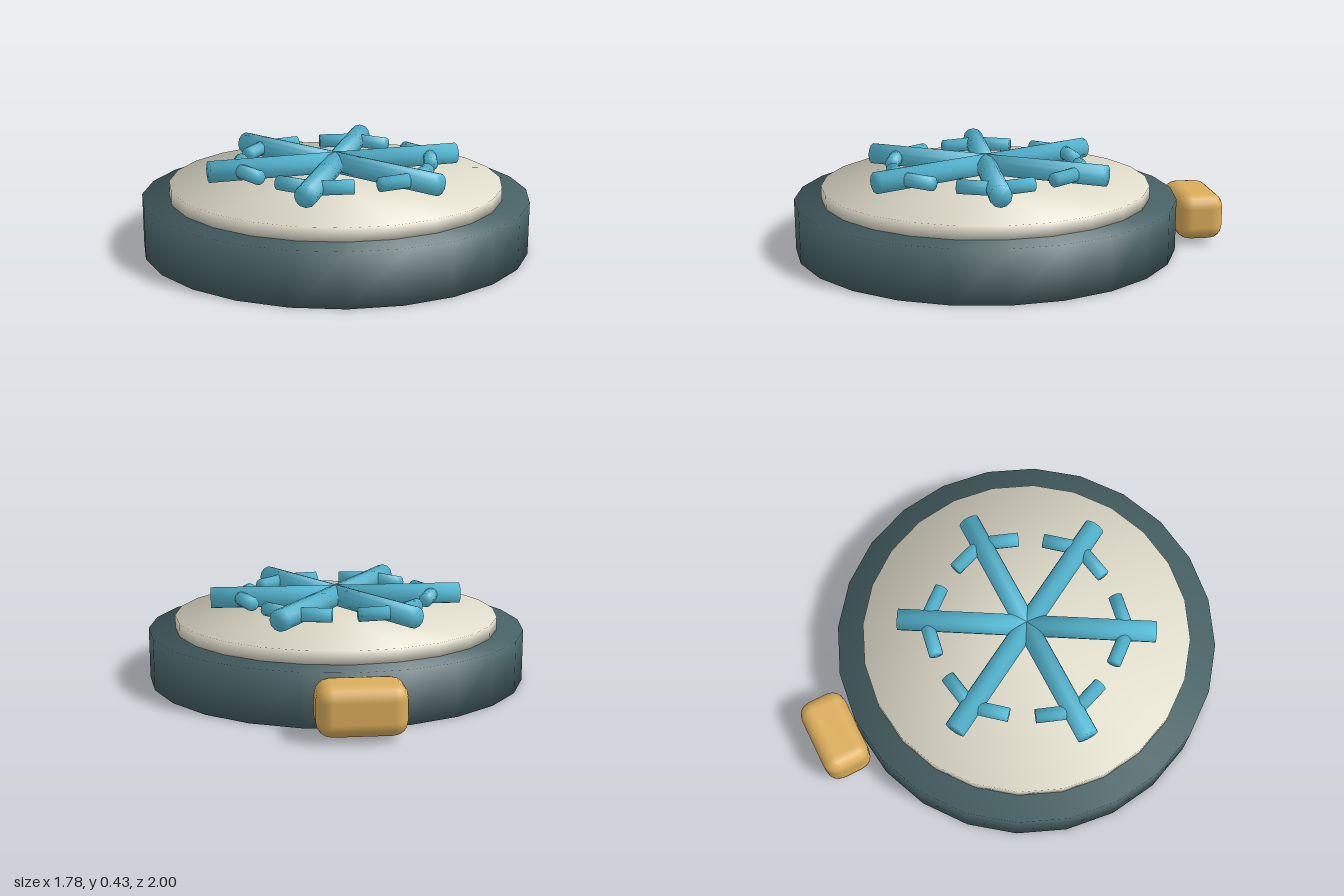
import * as THREE from 'three';
import { RoundedBoxGeometry } from 'three/addons/geometries/RoundedBoxGeometry.js';

const material = (name, color) => {
  const m = new THREE.MeshStandardMaterial({ color });
  m.name = name;
  return m;
};

// Cylinder whose shading flows over its rims, so the caps look softly domed
function softCylinder(radius, height, sides) {
  const geo = new THREE.CylinderGeometry(radius, radius, height, sides);
  const pos = geo.attributes.position;
  const n = new THREE.Vector3();
  for (let i = 0; i < pos.count; i++) {
    n.set(pos.getX(i) / radius, Math.sign(pos.getY(i)), pos.getZ(i) / radius).normalize();
    geo.attributes.normal.setXYZ(i, n.x, n.y, n.z);
  }
  return geo;
}

export function createModel() {
  const teal = material('dark teal', 0x466064);
  const cream = material('cream', 0xe0dccb);
  const blue = material('ice blue', 0x57bcd8);
  const gold = material('gold', 0xdcae5c);

  const model = new THREE.Group();
  model.name = 'snowflakePendant';
  const centreZ = 0.11;

  const add = (parent, name, geo, mat, x, y, z) => {
    const mesh = new THREE.Mesh(geo, mat);
    mesh.name = name;
    mesh.position.set(x, y, z);
    parent.add(mesh);
    return mesh;
  };

  // Round case and raised face
  add(model, 'case', softCylinder(0.89, 0.24, 24), teal, 0, 0.12, centreZ);
  add(model, 'face', softCylinder(0.765, 0.06, 24), cream, 0, 0.27, centreZ);

  // Knob at the back rim
  add(model, 'knob', new RoundedBoxGeometry(0.375, 0.22, 0.22, 2, 0.065), gold, 0, 0.13, -0.89);

  // Snowflake: six arms, each with two swept-back twigs
  const snowflake = new THREE.Group();
  snowflake.name = 'snowflake';
  snowflake.position.set(0, 0.38, centreZ);
  model.add(snowflake);

  // Rods lie along +x, starting at the origin
  const rod = (radius, length) =>
    softCylinder(radius, length, 12).rotateZ(-Math.PI / 2).translate(length / 2, 0, 0);
  const armGeo = rod(0.05, 0.595);
  const twigGeo = rod(0.033, 0.176);
  const twigAngle = THREE.MathUtils.degToRad(110);

  for (let i = 0; i < 6; i++) {
    const branch = new THREE.Group();
    branch.name = 'branch' + (i + 1);
    branch.rotation.y = (i * Math.PI) / 3;
    snowflake.add(branch);
    add(branch, 'arm', armGeo, blue, 0, 0, 0);
    for (const side of [-1, 1]) {
      add(branch, 'twig', twigGeo, blue, 0.465, 0, 0).rotation.y = side * twigAngle;
    }
  }
  return model;
}
